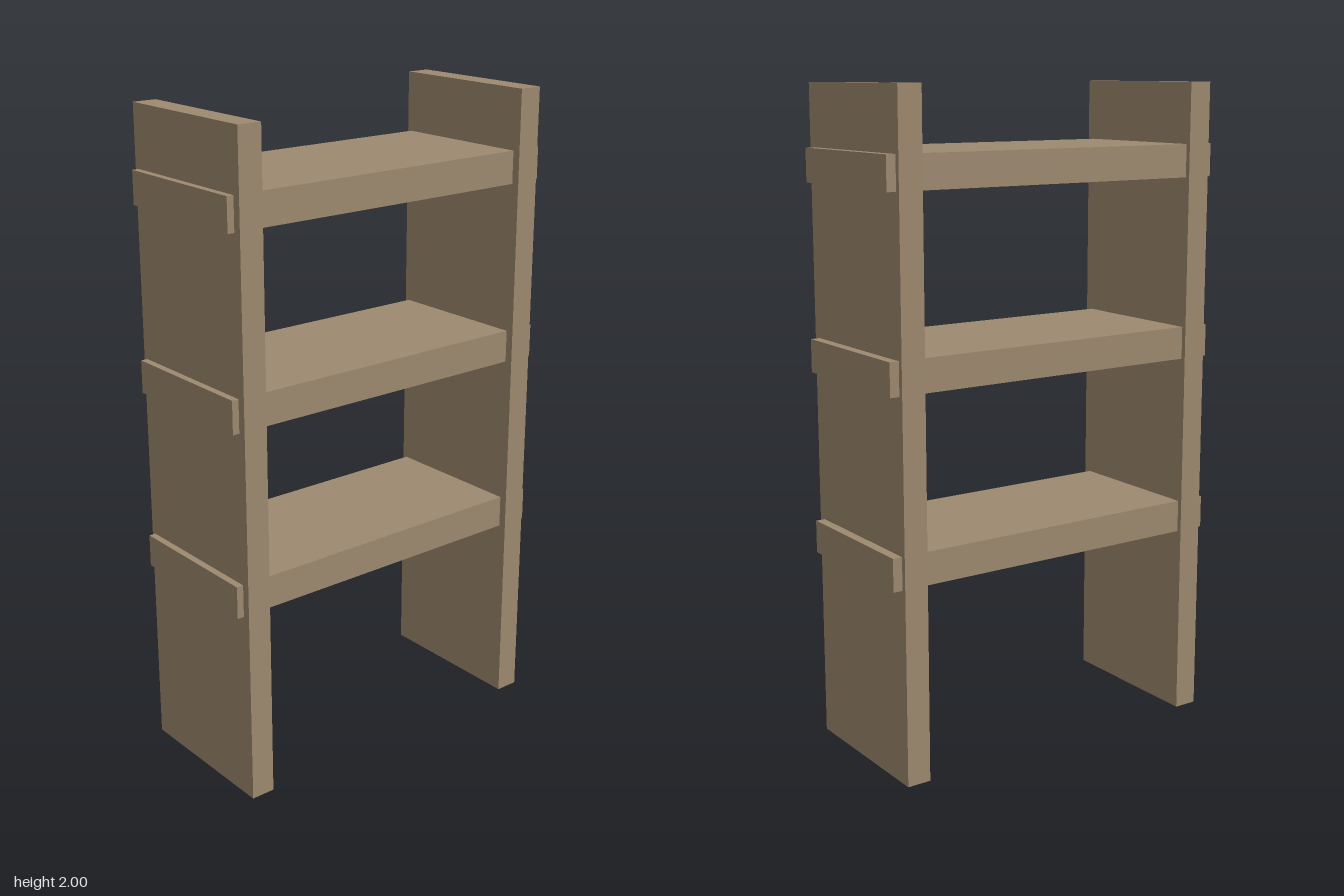
import * as THREE from 'three';

export function createModel() {
  const group = new THREE.Group();
  const wood = new THREE.MeshStandardMaterial({ color: 0x9e896f });
  wood.name = 'wood';

  function addBoard(name, size, position) {
    const board = new THREE.Mesh(new THREE.BoxGeometry(...size), wood);
    board.name = name;
    board.position.set(...position);
    group.add(board);
  }

  // Upright end panels
  addBoard('frontPanel', [0.5, 2, 0.075], [0, 1, 0.514]);
  addBoard('backPanel', [0.5, 2, 0.075], [0, 1, -0.506]);

  // Shelves whose ends pass through both panels
  [0.645, 1.205, 1.765].forEach((y, i) => {
    addBoard(`shelf${i + 1}`, [0.46, 0.1, 1.146], [-0.005, y, 0]);
  });

  return group;
}
